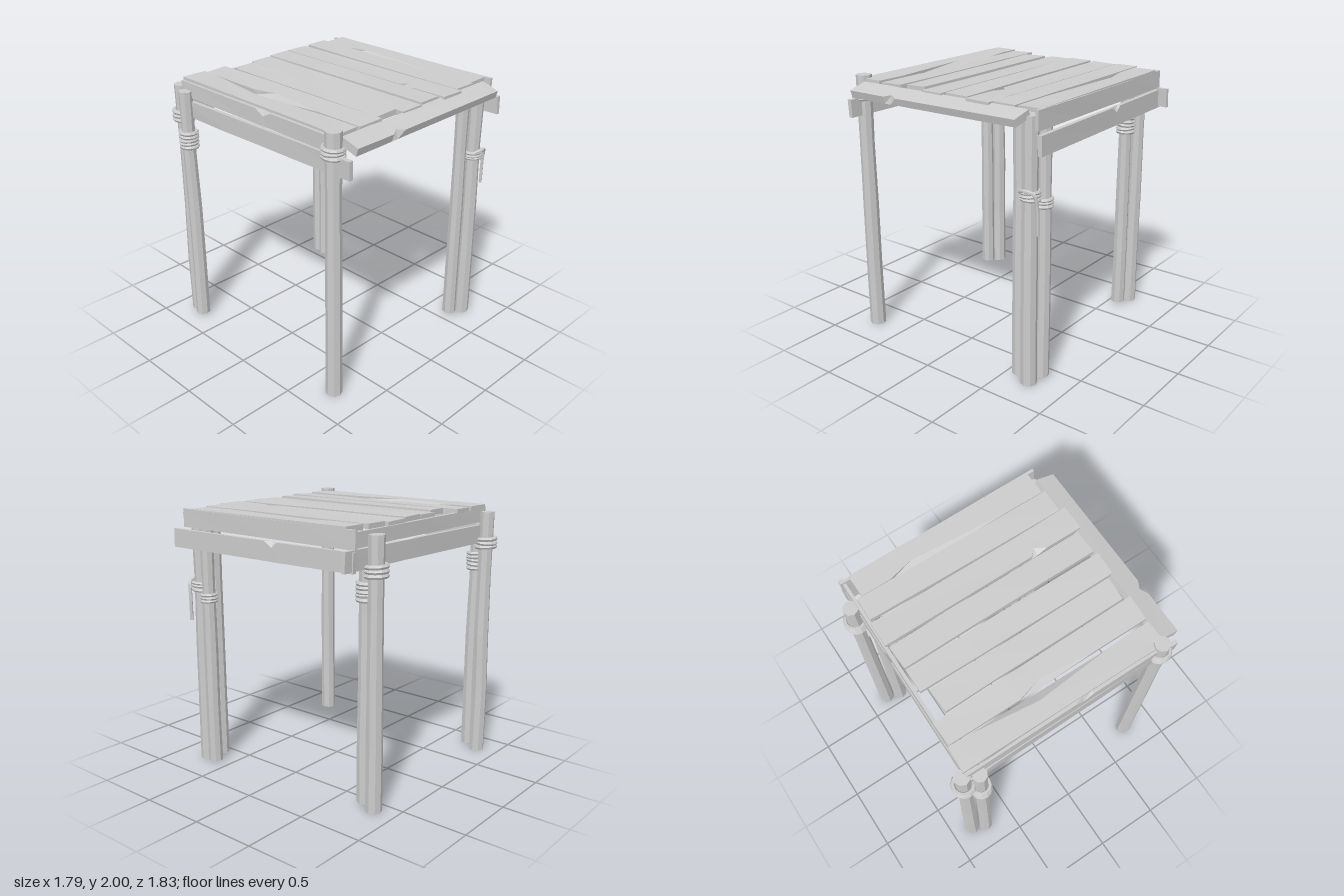
import * as THREE from 'three';

const material = new THREE.MeshStandardMaterial({ color: 0xcccccc, flatShading: true });
const V = (x, y, z) => new THREE.Vector3(x, y, z);

// Repeatable wobble in -1..1, the same for vertices that share a position
const wobble = (x, y, z, s) => {
  const n = Math.sin(x * 127.1 + y * 311.7 + z * 74.7 + s * 19.3) * 43758.5453;
  return (n - Math.floor(n)) * 2 - 1;
};

export function createModel() {
  const model = new THREE.Group();
  let seed = 0;

  function add(name, geometry) {
    const mesh = new THREE.Mesh(geometry, material);
    mesh.name = name;
    model.add(mesh);
    return mesh;
  }

  // Rough board from a to b; chip = [side, start, middle, end, depth] cuts one top edge
  function board(name, a, b, across, width, thick, chip = [1, 0.3, 0.5, 0.7, 0]) {
    seed++;
    const [side, start, middle, end, depth] = chip;
    const length = a.distanceTo(b);
    const rows = [0, start, middle, end, 1];
    const geometry = new THREE.BoxGeometry(width, thick, length, 1, 1, 4);
    const p = geometry.attributes.position;
    for (let i = 0; i < p.count; i++) {
      const x = p.getX(i), y = p.getY(i);
      const row = Math.round((p.getZ(i) / length + 0.5) * 4);
      const sx = Math.sign(x), sy = Math.sign(y);
      const cut = row === 2 && sy > 0 && sx === side ? depth : 0;
      const ends = row === 0 || row === 4 ? 1 : 0.3;
      p.setXYZ(i,
        x - sx * cut + 0.005 * ends * wobble(sx, 0, row, seed),
        y + 0.004 * ends * wobble(sx, sy, row, seed + 50),
        (rows[row] - 0.5) * length + (ends === 1 ? 0.007 * wobble(sx, 0, row, seed + 90) : 0));
    }
    const dir = b.clone().sub(a).normalize();
    const normal = dir.clone().cross(across).normalize();
    const right = normal.clone().cross(dir);
    geometry.applyMatrix4(new THREE.Matrix4().makeBasis(right, normal, dir)
      .setPosition(a.clone().add(b).multiplyScalar(0.5)));
    geometry.computeVertexNormals();
    return add(name, geometry);
  }

  // Eight-sided hand-cut pole
  function pole(name, x, z, bottom, top, r) {
    seed++;
    const h = top - bottom;
    const geometry = new THREE.CylinderGeometry(r * 0.95, r, h, 8, 4);
    const p = geometry.attributes.position;
    for (let i = 0; i < p.count; i++) {
      const row = Math.round((p.getY(i) / h + 0.5) * 4);
      if (row === 0 || row === 4) continue;
      const k = row === 3 ? 0.92 : 0.98;
      p.setX(i, p.getX(i) * k + 0.004 * wobble(row, 1, 0, seed));
      p.setZ(i, p.getZ(i) * k + 0.004 * wobble(row, 2, 0, seed));
    }
    geometry.computeVertexNormals();
    add(name, geometry).position.set(x, (bottom + top) / 2, z);
  }

  // Stack of rope loops round a pole
  function lashing(name, x, z, low, high, r, turns) {
    const group = new THREE.Group();
    group.name = name;
    const t = (high - low) / turns / 2;
    for (let i = 0; i < turns; i++) {
      const ring = new THREE.Mesh(new THREE.TorusGeometry(r - t, t * 1.1, 6, 12), material);
      ring.rotation.set(Math.PI / 2 + 0.07 * wobble(i, 1, x, 3), 0.07 * wobble(i, 2, z, 3), 0);
      ring.position.set(x, low + t * (2 * i + 1), z);
      group.add(ring);
    }
    model.add(group);
  }

  // Legs: [name, x, z, bottom, top, radius, lashing low, high, radius, turns]
  [
    ['frontRightLeg', -0.775, 0.74, 0, 2, 0.061, 1.82, 1.9, 0.083, 3],
    ['backRightLeg', -0.775, -0.83, 0, 1.93, 0.06, 1.65, 1.74, 0.086, 3],
    ['backRightBrace', -0.82, -0.725, 0.02, 1.91, 0.055, 1.47, 1.61, 0.075, 5],
    ['backLeftLeg', 0.615, -0.83, 0, 1.93, 0.06, 1.65, 1.74, 0.086, 3],
    ['backLeftBrace', 0.575, -0.72, 0.02, 1.86, 0.055, 1.47, 1.61, 0.075, 5],
    ['frontLeftLeg', 0.715, 0.735, 0, 1.93, 0.061, 1.36, 1.43, 0.074, 3],
    ['frontLeftSideBrace', 0.745, 0.62, 0.02, 1.9, 0.053, 1.29, 1.36, 0.067, 3],
    ['frontLeftInnerBrace', 0.605, 0.695, 0.02, 1.9, 0.053],
  ].forEach(([name, x, z, bottom, top, r, low, high, lr, turns]) => {
    pole(name, x, z, bottom, top, r);
    if (turns) lashing(name + 'Lashing', x, z, low, high, lr, turns);
  });

  // Loose rope end at the front left
  const rope = new THREE.CatmullRomCurve3([
    V(0.66, 1.42, 0.78), V(0.73, 1.44, 0.805), V(0.785, 1.42, 0.785),
    V(0.797, 1.34, 0.77), V(0.8, 1.14, 0.765)]);
  add('ropeEnd', new THREE.TubeGeometry(rope, 14, 0.013, 6));

  // Table top planks: [x at left edge, right edge, back z, front z, height, chip]
  [
    [-0.77, -0.585, -0.81, 0.77, 1.965, [1, 0.1, 0.42, 0.85, 0.06]],
    [-0.565, -0.38, -0.795, 0.77, 1.96, [-1, 0.35, 0.46, 0.75, 0.045]],
    [-0.365, -0.185, -0.695, 0.73, 1.965],
    [-0.17, 0.01, -0.76, 0.785, 1.96],
    [0.03, 0.215, -0.76, 0.765, 1.967],
    [0.235, 0.42, -0.78, 0.805, 1.962, [-1, 0.74, 0.77, 0.82, 0.045]],
    [0.435, 0.615, -0.765, 0.76, 1.965],
    [0.622, 0.8, -0.725, 0.735, 1.965, [-1, 0.15, 0.28, 0.8, 0.045]],
  ].forEach(([x0, x1, z0, z1, y, chip], i) => {
    const x = (x0 + x1) / 2;
    const lean = 0.006 * wobble(i, 0, 0, 7);
    board('topPlank', V(x - lean, y + 0.004, z0), V(x + lean, y - 0.004, z1),
      V(1, 0.05 * wobble(i, 1, 0, 7), 0), x1 - x0, 0.035, chip);
  });

  // Tilted board along the front
  board('frontBoard', V(0.72, 1.925, 0.83), V(-0.73, 1.91, 0.835), V(0, -0.3, 1), 0.15, 0.055,
    [1, 0.7, 0.74, 0.78, 0.035]);

  // Upright rails round the frame
  const up = V(0, 1, 0);
  board('backUpperRail', V(-0.78, 1.905, -0.785), V(0.79, 1.905, -0.775), up, 0.1, 0.025);
  board('backLowerRail', V(-0.79, 1.765, -0.79), V(0.89, 1.78, -0.775), up, 0.135, 0.03,
    [1, 0.54, 0.57, 0.62, 0.04]);
  board('leftUpperRail', V(0.8, 1.91, 0.79), V(0.79, 1.91, -0.8), up, 0.13, 0.025);
  board('leftLowerRail', V(0.855, 1.765, 0.83), V(0.8, 1.765, -0.8), up, 0.135, 0.028,
    [1, 0.54, 0.58, 0.61, 0.04]);
  board('rightUpperRail', V(-0.785, 1.91, -0.8), V(-0.78, 1.91, 0.7), up, 0.11, 0.025,
    [1, 0.55, 0.6, 0.65, 0.04]);
  board('rightLowerRail', V(-0.785, 1.765, -0.8), V(-0.775, 1.775, 0.89), up, 0.13, 0.03);

  return model;
}
